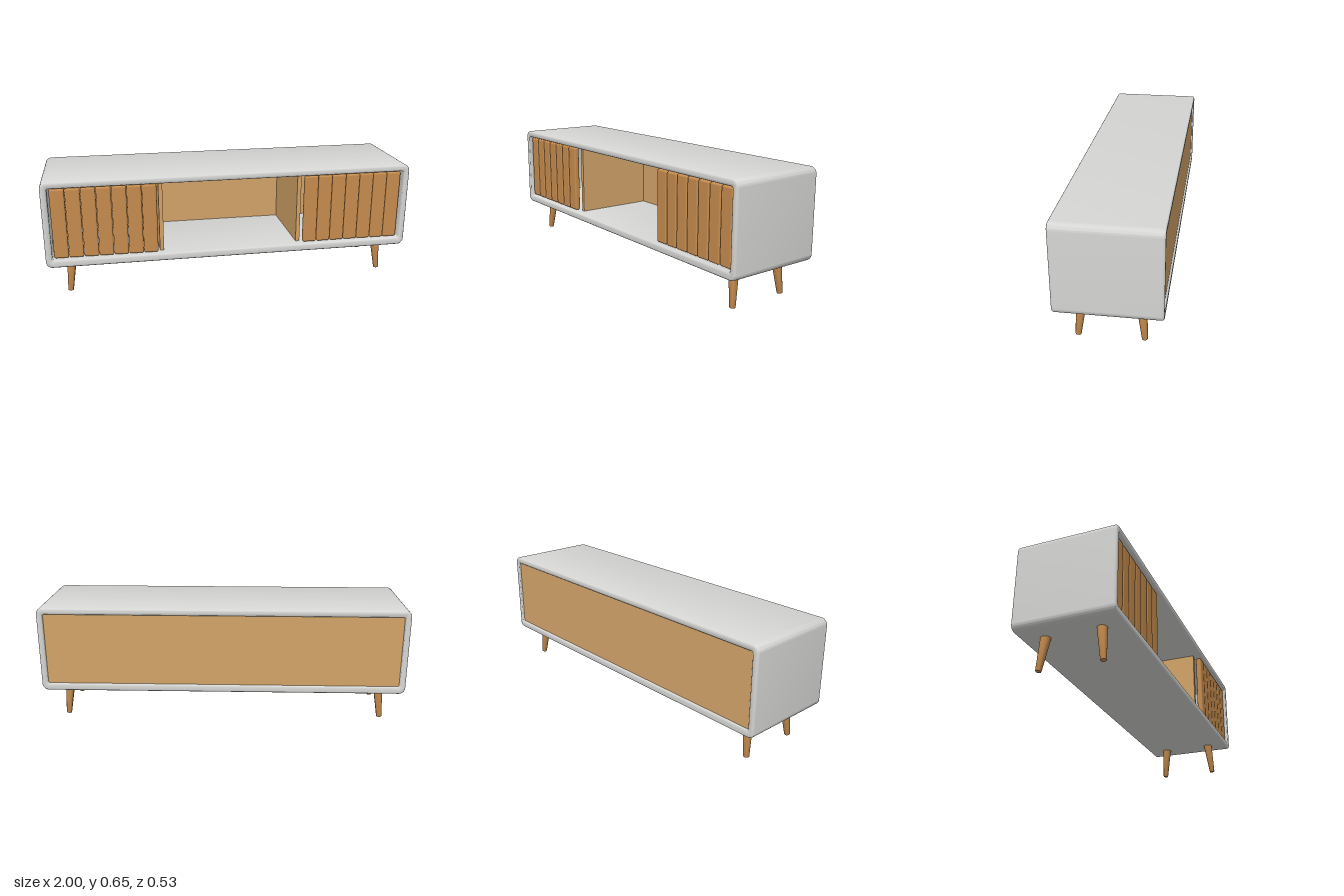
import * as THREE from 'three';
import { toCreasedNormals } from 'three/addons/utils/BufferGeometryUtils.js';
import { RoundedBoxGeometry } from 'three/addons/geometries/RoundedBoxGeometry.js';

const material = (name, color) => {
  const m = new THREE.MeshStandardMaterial({ color });
  m.name = name;
  return m;
};

// Rounded rectangle outline, used for the shell and its opening
function roundedRect(path, x0, y0, x1, y1, r) {
  path.absarc(x1 - r, y0 + r, r, -Math.PI / 2, 0);
  path.absarc(x1 - r, y1 - r, r, 0, Math.PI / 2);
  path.absarc(x0 + r, y1 - r, r, Math.PI / 2, Math.PI);
  path.absarc(x0 + r, y0 + r, r, Math.PI, Math.PI * 1.5);
  path.closePath();
  return path;
}

export function createModel() {
  const group = new THREE.Group();
  group.name = 'mediaCabinet';
  const shellGrey = material('shellGrey', 0xd6d6d4);
  const slatWood = material('slatWood', 0xc68c4e);
  const panelWood = material('panelWood', 0xd3a469);

  const add = (name, geometry, mat, x = 0, y = 0, z = 0) => {
    const mesh = new THREE.Mesh(geometry, mat);
    mesh.name = name;
    mesh.position.set(x, y, z);
    group.add(mesh);
    return mesh;
  };

  // Shell: a rounded tube of rectangular section, softened at both rims
  const bevel = 0.012, depth = 0.526;
  const outline = roundedRect(new THREE.Shape(), -1, 0.18, 1, 0.652, 0.035);
  outline.holes.push(roundedRect(new THREE.Path(), -0.965, 0.222, 0.965, 0.615, 0.01));
  const shell = new THREE.ExtrudeGeometry(outline, {
    depth: depth - 2 * bevel, curveSegments: 8, bevelEnabled: true, bevelSegments: 4,
    bevelSize: bevel, bevelThickness: bevel, bevelOffset: -bevel,
  });
  shell.translate(0, 0, -depth / 2 + bevel);
  add('shell', toCreasedNormals(shell, 0.6), shellGrey);

  // Back panel, slightly inset
  add('backPanel', new THREE.BoxGeometry(1.93, 0.393, 0.015), panelWood, 0, 0.4185, -0.245);

  // Leg: tapered, with softened foot
  const legLength = 0.195;
  const legGeometry = new THREE.LatheGeometry([
    [0, 0], [0.011, 0], [0.0135, 0.001], [0.015, 0.005], [0.0265, legLength], [0, legLength],
  ].map(([r, y]) => new THREE.Vector2(r, y)), 24);
  const legShape = toCreasedNormals(legGeometry, 0.7);

  for (const side of [-1, 1]) {
    const sideName = side > 0 ? 'left' : 'right';

    // Inner divider
    add(sideName + 'Divider', new THREE.BoxGeometry(0.022, 0.393, 0.45), panelWood,
      side * 0.383, 0.4185, -0.015);

    // Sliding door of seven rounded upright slats
    const pitch = 0.079;
    const slat = new RoundedBoxGeometry(0.077, 0.382, 0.032, 3, 0.01);
    for (let i = 0; i < 7; i++) {
      add(sideName + 'DoorSlat' + (i + 1), slat, slatWood,
        side * (0.404 + pitch * (i + 0.5)), 0.4185, 0.232);
    }

    // Splayed legs, front and back
    for (const end of [-1, 1]) {
      const leg = add(sideName + (end > 0 ? 'FrontLeg' : 'BackLeg'), legShape, slatWood,
        side * 0.889, 0.0015, end * 0.163);
      const axis = new THREE.Vector3(-side * 0.017, 0.18, -end * 0.018).normalize();
      leg.quaternion.setFromUnitVectors(new THREE.Vector3(0, 1, 0), axis);
    }
  }

  return group;
}
